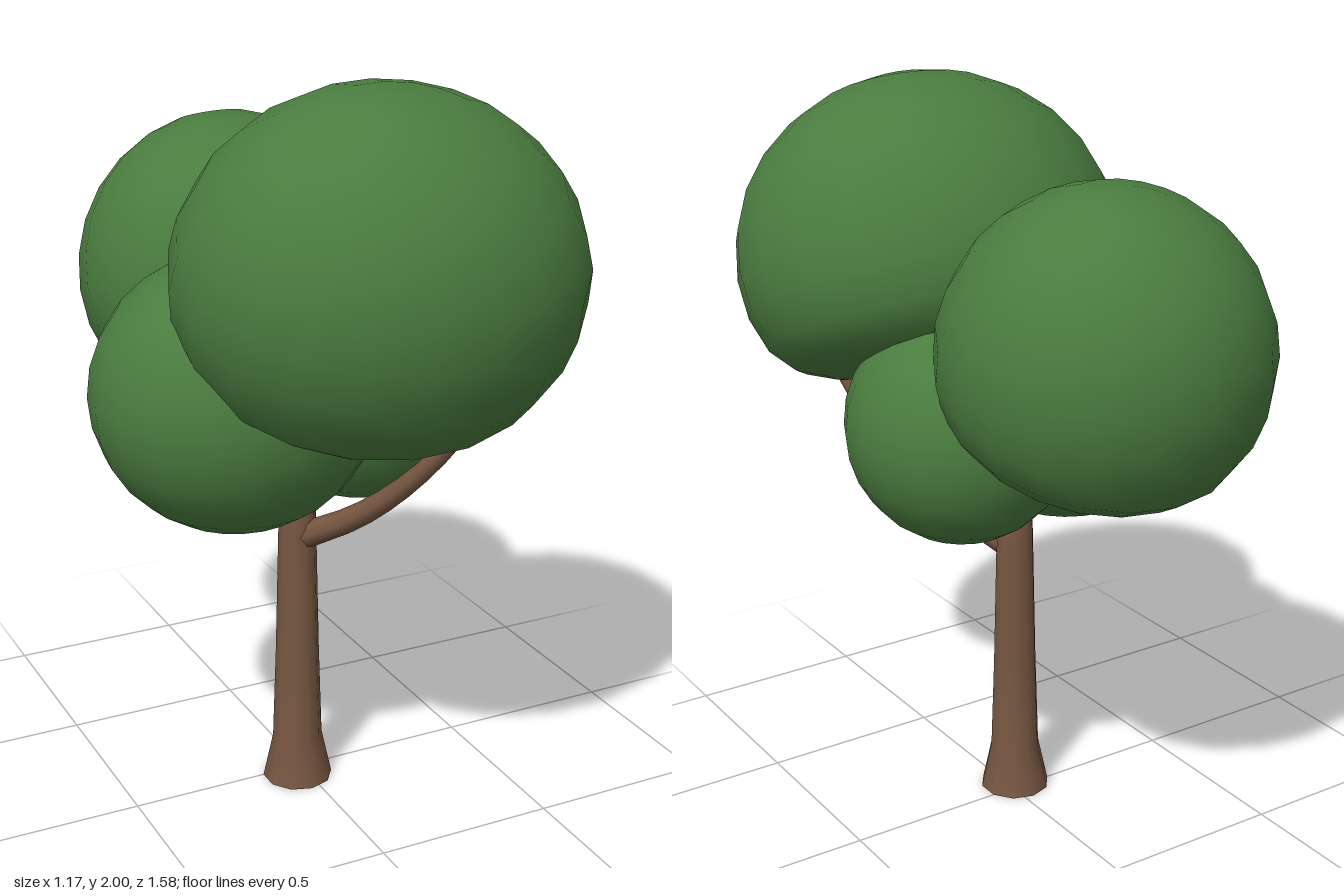
import * as THREE from 'three';
import { mergeVertices } from 'three/addons/utils/BufferGeometryUtils.js';

const leaf = new THREE.MeshStandardMaterial({ color: 0x4a7c3f });
const bark = new THREE.MeshStandardMaterial({ color: 0x775741 });

// Leaf clump: a sphere whose underside is softly flattened (flat = 0 keeps it round)
function clump(name, radii, position, rotation, flat) {
  let geo = new THREE.SphereGeometry(1, 20, 14);
  geo.deleteAttribute('uv');
  geo.deleteAttribute('normal');
  const p = geo.attributes.position;
  for (let i = 0; i < p.count; i++) {
    const d = -p.getY(i);
    if (flat && d > 0) p.setY(i, -d / Math.pow(1 + Math.pow(d / flat, 4), 0.25));
  }
  geo = mergeVertices(geo, 1e-4);
  geo.scale(...radii);
  geo.computeVertexNormals();
  const mesh = new THREE.Mesh(geo, leaf);
  mesh.name = name;
  mesh.position.set(...position);
  mesh.rotation.set(...rotation, 'YXZ');
  return mesh;
}

// Round limb along a curve, tapering from r0 to r1
function taperedLimb(points, r0, r1, sides) {
  const curve = new THREE.CatmullRomCurve3(points.map(q => new THREE.Vector3(...q)));
  const steps = 10;
  const geo = new THREE.TubeGeometry(curve, steps, 1, sides);
  const p = geo.attributes.position;
  const v = new THREE.Vector3();
  for (let i = 0; i < p.count; i++) {
    const t = Math.floor(i / (sides + 1)) / steps;
    const c = curve.getPointAt(t);
    v.fromBufferAttribute(p, i).sub(c).multiplyScalar(THREE.MathUtils.lerp(r0, r1, t)).add(c);
    p.setXYZ(i, v.x, v.y, v.z);
  }
  return geo;
}

export function createModel() {
  const tree = new THREE.Group();
  tree.name = 'tree';

  // Trunk with a flared foot
  const trunk = new THREE.Group();
  trunk.name = 'trunk';
  trunk.position.set(-0.025, 0, 0.03);
  const profile = [[0.097, 0], [0.069, 0.13], [0.06, 0.4], [0.052, 0.75], [0.047, 0.95], [0, 0.97]];
  const stem = new THREE.Mesh(
    new THREE.LatheGeometry(profile.map(([r, y]) => new THREE.Vector2(r, y)), 10), bark);
  stem.name = 'stem';
  const foot = new THREE.Mesh(new THREE.CircleGeometry(0.097, 10, Math.PI / 2), bark);
  foot.name = 'footCap';
  foot.rotation.x = Math.PI / 2;
  trunk.add(stem, foot);
  tree.add(trunk);

  // Side branch reaching into the front clump
  const branch = new THREE.Mesh(taperedLimb(
    [[-0.02, 0.735, 0.04], [0.08, 0.83, 0.18], [0.165, 0.96, 0.31], [0.245, 1.12, 0.42], [0.28, 1.23, 0.47]],
    0.038, 0.018, 8), bark);
  branch.name = 'branch';
  tree.add(branch);

  // Crown
  tree.add(
    clump('frontLeaves', [0.525, 0.48, 0.475], [0.06, 1.52, 0.315], [0.47, -0.19, 0], 0.68),
    clump('backLeaves', [0.425, 0.435, 0.425], [-0.03, 1.385, -0.365], [-0.34, 0, 0], 0.68),
    clump('leftLeaves', [0.30, 0.31, 0.315], [0.165, 1.135, 0], [0, 0, 0], 0),
    clump('rightLeaves', [0.385, 0.37, 0.37], [-0.205, 1.18, 0.04], [0, 0, 0], 0)
  );
  return tree;
}
